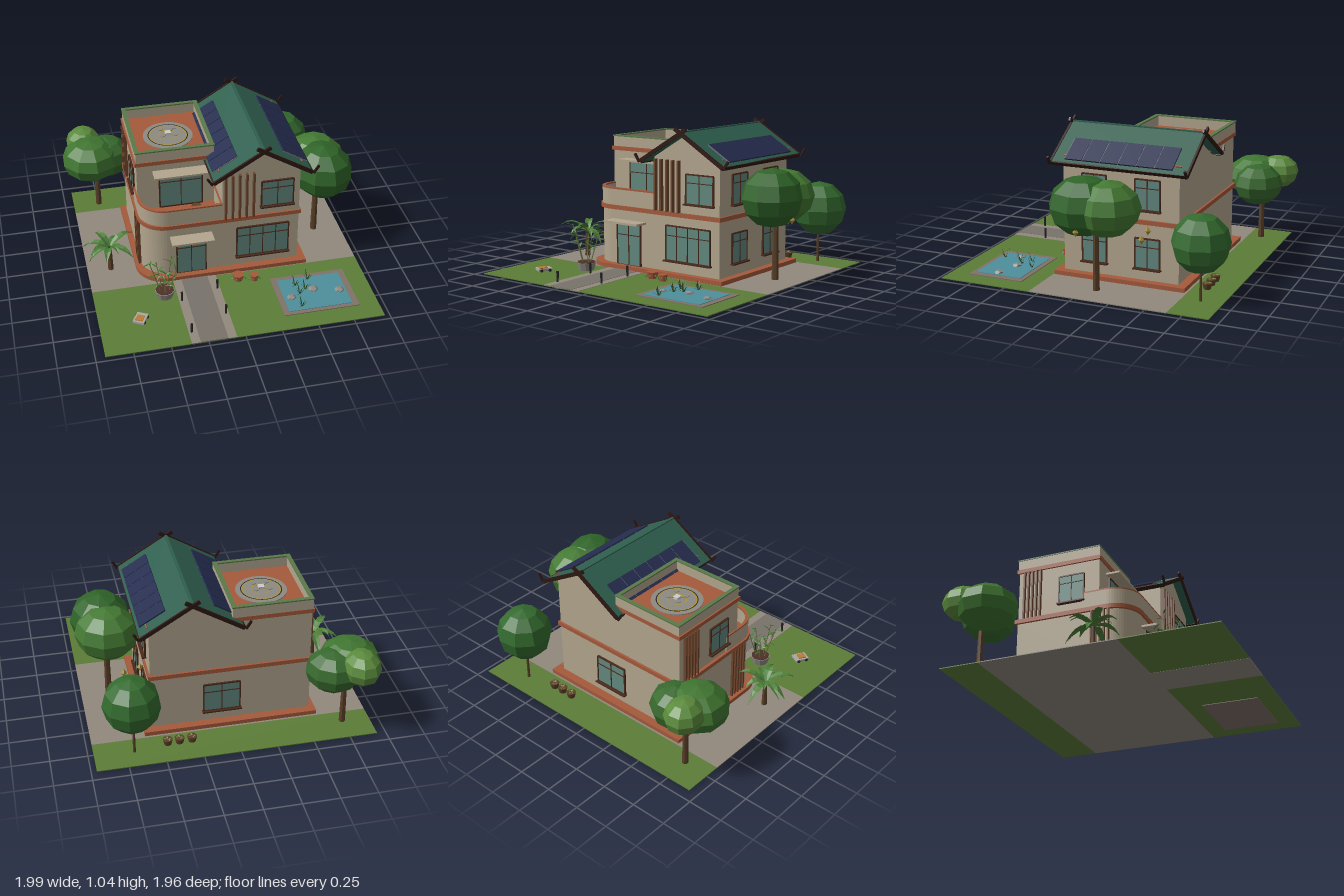
import * as THREE from 'three';

const C = { wall: 0xb3a68e, clay: 0xa55a3c, wood: 0x4a2a1c, slat: 0x6e452c, glass: 0x62897f, roof: 0x2f5f4e,
  dark: 0x2e1712, panel: 0x252c4e, grass: 0x5c7d38, pave: 0x91887d, path: 0x78726a, water: 0x4f8f9c,
  stone: 0x8d8a83, leaf: 0x3f7530, trunk: 0x5a4028, black: 0x262626, gold: 0xa8923a };
const G = 0.036; // ground level
const mats = {};
const mat = (c) => (mats[c] ??= new THREE.MeshStandardMaterial({ color: c, flatShading: true, side: THREE.DoubleSide }));

function add(parent, name, geo, color, x = 0, y = 0, z = 0) {
  const m = new THREE.Mesh(geo, mat(color));
  m.name = name;
  m.position.set(x, y, z);
  parent.add(m);
  return m;
}
function group(parent, name, x = 0, y = 0, z = 0) {
  const g = new THREE.Group();
  g.name = name;
  g.position.set(x, y, z);
  parent.add(g);
  return g;
}
// box given by its limits on each axis
const block = (p, name, c, x0, x1, y0, y1, z0, z1) => add(p, name,
  new THREE.BoxGeometry(x1 - x0, y1 - y0, z1 - z0), c, (x0 + x1) / 2, (y0 + y1) / 2, (z0 + z1) / 2);
const cyl = (p, name, c, r0, r1, h, x, y, z, n = 8) =>
  add(p, name, new THREE.CylinderGeometry(r1, r0, h, n), c, x, y + h / 2, z);

// plan outline with one rounded front corner
function plan(x0, x1, z0, z1, r, Type = THREE.Shape) {
  const s = new Type();
  s.moveTo(x0, -z1 + r);
  s.absarc(x0 + r, -z1 + r, r, Math.PI, 1.5 * Math.PI, false);
  s.lineTo(x1, -z1).lineTo(x1, -z0).lineTo(x0, -z0).closePath();
  return s;
}
function storey(p, name, c, shape, y0, y1) {
  const geo = new THREE.ExtrudeGeometry(shape, { depth: y1 - y0, bevelEnabled: false, curveSegments: 8 });
  return add(p, name, geo.rotateX(-Math.PI / 2), c, 0, y0, 0);
}

// window with frame, mullions and sill, centred at its middle and facing +z before turning
function pane(p, name, w, h, cols, x, y, z, turn = 0, sill = true) {
  const g = group(p, name, x, y, z);
  g.rotation.y = turn;
  const t = 0.009;
  add(g, 'glass', new THREE.BoxGeometry(w, h, 0.008), C.glass);
  for (let i = 0; i <= cols; i++)
    add(g, 'mullion', new THREE.BoxGeometry(i % cols ? t * 0.6 : t, h, 0.018), C.wood, -w / 2 + (w * i) / cols);
  for (const f of [-0.5, 0.22, 0.5]) add(g, 'rail', new THREE.BoxGeometry(w, f === 0.22 ? t * 0.6 : t, 0.018), C.wood, 0, f * h);
  if (sill) add(g, 'sill', new THREE.BoxGeometry(w + 0.02, 0.01, 0.035), C.wood, 0, -h / 2 - 0.004, 0.008);
}

// tapering leaf that rises and droops along +z
function leaf(p, len, w, rise, droop, turn, c = C.leaf, x = 0, y = 0, z = 0) {
  const geo = new THREE.PlaneGeometry(1, 1, 2, 5), a = geo.attributes.position;
  for (let i = 0; i < a.count; i++) {
    const t = a.getY(i) + 0.5, s = a.getX(i);
    a.setXYZ(i, s * w * Math.sin(Math.PI * (0.12 + 0.88 * t)), rise * t - droop * t * t + Math.abs(s) * w * 0.25, len * t);
  }
  geo.computeVertexNormals();
  add(p, 'leaf', geo, c, x, y, z).rotation.y = turn;
}
function tuft(p, name, x, y, z, n, len, w, rise, droop, c) {
  const g = group(p, name, x, y, z);
  for (let i = 0; i < n; i++) leaf(g, len * (0.8 + 0.2 * (i % 2)), w, rise * (1 - 0.3 * (i % 3)), droop, i * Math.PI * 2 / n + 0.3, c);
  return g;
}
// tree: trunk plus crown blobs [x, y, z, rx, ry, rz, colour]
function tree(p, name, x, z, r, top, blobs) {
  const g = group(p, name);
  cyl(g, 'trunk', C.trunk, r, r * 0.75, top - G, x, G, z, 7);
  blobs.forEach(([bx, by, bz, rx, ry, rz, c], i) => {
    const b = add(g, 'crown', new THREE.SphereGeometry(1, 9, 6), c, bx, by, bz);
    b.scale.set(rx, ry, rz);
    b.rotation.y = i * 0.7 + 0.3;
  });
}

function buildHouse(root) {
  const h = group(root, 'house');
  storey(h, 'plinth', C.clay, plan(-0.595, 0.6, -0.635, 0.305, 0.2), G, 0.065);
  storey(h, 'groundFloor', C.wall, plan(-0.555, 0.545, -0.575, 0.25, 0.18), 0.06, 0.455);
  storey(h, 'floorBand', C.clay, plan(-0.572, 0.558, -0.59, 0.265, 0.19), 0.45, 0.48);

  // balcony
  const ring = plan(-0.56, 0, -0.1, 0.255, 0.18);
  ring.holes.push(plan(-0.538, -0.01, -0.08, 0.233, 0.16, THREE.Path));
  storey(h, 'balconyParapet', C.wall, ring, 0.48, 0.592);
  storey(h, 'balconyCap', C.clay, ring, 0.592, 0.603);
  cyl(h, 'balconyTable', C.trunk, 0.03, 0.035, 0.06, -0.16, 0.48, 0.14);

  // flat-roofed upper room
  block(h, 'upperRoom', C.wall, -0.55, 0, 0.48, 0.84, -0.575, 0.02);
  block(h, 'roofBand', C.clay, -0.562, 0, 0.835, 0.864, -0.59, 0.03);
  for (const [y0, y1, c, e, n] of [[0.86, 0.935, C.wall, 0, 'roofParapet'], [0.935, 0.944, 0x5a7a4a, 0.004, 'parapetCap']]) {
    for (const z of [-0.577, 0.012]) block(h, n, c, -0.552 - e, -0.008 + e, y0, y1, z - 0.01 - e, z + 0.01 + e);
    for (const x of [-0.542, -0.02]) block(h, n, c, x - 0.01 - e, x + 0.01 + e, y0, y1, -0.58, 0.01);
  }

  // landing pad and small drone
  const pad = group(h, 'landingPad', -0.275, 0.864, -0.28);
  cyl(pad, 'padDisc', C.stone, 0.175, 0.175, 0.006, 0, 0, 0, 32);
  for (const [a, b, c] of [[0.125, 0.135, C.gold], [0.135, 0.142, C.black], [0.06, 0.066, C.gold]])
    add(pad, 'padRing', new THREE.RingGeometry(a, b, 32).rotateX(-Math.PI / 2), c, 0, 0.008, 0);
  const drone = group(pad, 'drone', 0, 0.025, 0);
  add(drone, 'body', new THREE.BoxGeometry(0.04, 0.018, 0.04), 0xbdbdbd);
  for (const s of [-1, 1]) {
    add(drone, 'arm', new THREE.BoxGeometry(0.13, 0.006, 0.008), C.gold).rotation.y = s * Math.PI / 4;
    for (const t of [-1, 1]) cyl(drone, 'rotor', C.stone, 0.02, 0.02, 0.004, s * 0.045, 0.008, t * 0.045, 12);
  }

  // gabled wing
  const R = 0.267, gable = new THREE.Shape();
  gable.moveTo(0, 0.48).lineTo(0.545, 0.48).lineTo(0.545, 0.84).lineTo(R, 1.01).lineTo(0, 0.85).closePath();
  add(h, 'gableWing', new THREE.ExtrudeGeometry(gable, { depth: 0.825, bevelEnabled: false }), C.wall, 0, 0, -0.575);
  const roof = group(h, 'roof', R, 1.035, -0.167);
  const ang = 0.545;
  for (const s of [-1, 1]) {
    const side = group(roof, 'roofSlope');
    side.rotation.z = -s * ang;
    add(side, 'slab', new THREE.BoxGeometry(0.405, 0.022, 0.95), C.roof, s * 0.202, -0.011, 0);
    for (const z of [-0.48, 0.48]) {
      add(side, 'bargeBoard', new THREE.BoxGeometry(0.455, 0.026, 0.014), C.dark, s * 0.178, -0.008, z);
      const tip = add(side, 'eaveFinial', new THREE.BoxGeometry(0.065, 0.015, 0.014), C.dark, s * 0.417, 0.017, z);
      tip.rotation.z = s * 1.6 - s * 0.05;
      tip.position.y = 0.022;
    }
    add(side, 'eaveTrim', new THREE.BoxGeometry(0.012, 0.026, 0.95), C.dark, s * 0.403, -0.013, 0);
    add(side, 'panelRail', new THREE.BoxGeometry(0.008, 0.008, 0.83), C.clay, s * 0.335, 0.004, -0.01);
    for (let i = 0; i < 6; i++) {
      add(side, 'solarPanel', new THREE.BoxGeometry(0.2, 0.01, 0.121), C.panel, s * 0.28, 0.012, -0.315 + i * 0.127);
      add(side, 'panelLine', new THREE.BoxGeometry(0.2, 0.008, 0.004), 0x70757c, s * 0.28, 0.01, -0.251 + i * 0.127);
    }
  }
  add(roof, 'ridgeCap', new THREE.BoxGeometry(0.018, 0.014, 0.95), C.roof, 0, -0.004, 0);

  // windows, doors and canopies
  pane(h, 'frontDoor', 0.205, 0.3, 2, -0.222, 0.212, 0.255, 0, false);
  pane(h, 'livingWindow', 0.37, 0.24, 4, 0.288, 0.264, 0.254);
  pane(h, 'bedroomWindow', 0.225, 0.2, 2, 0.385, 0.648, 0.254);
  pane(h, 'balconyDoor', 0.3, 0.28, 2, -0.245, 0.625, 0.025, 0, false);
  pane(h, 'backWindow', 0.25, 0.21, 2, 0.06, 0.25, -0.579, Math.PI);
  pane(h, 'leftWindow', 0.18, 0.2, 2, -0.554, 0.65, -0.18, -Math.PI / 2);
  for (const z of [0.025, -0.355]) for (const y of [0.25, 0.65]) pane(h, 'rightWindow', 0.175, 0.205, 2, 0.549, y, z, Math.PI / 2);
  block(h, 'doorCanopy', C.wall, -0.37, -0.075, 0.367, 0.382, 0.24, 0.355);
  block(h, 'balconyCanopy', C.wall, -0.44, -0.055, 0.77, 0.784, 0.01, 0.12);

  // timber slats on the front and left walls
  for (let i = 0; i < 5; i++) {
    const x = 0.02 + i * 0.049;
    block(h, 'frontSlat', C.slat, x - 0.007, x + 0.007, 0.48, 0.835, 0.25, 0.278);
    const z = -0.53 + i * 0.03;
    block(h, 'upperSideSlat', C.slat, -0.572, -0.548, 0.48, 0.835, z - 0.006, z + 0.006);
    block(h, 'lowerSideSlat', C.slat, -0.572, -0.55, 0.065, 0.45, z + 0.494, z + 0.506);
  }
}

function buildGarden(root) {
  const g = group(root, 'garden');
  block(g, 'backLawn', C.grass, -0.936, 0.963, G - 0.006, G, -0.928, -0.65);
  block(g, 'paving', C.pave, -0.936, 0.963, G - 0.006, G, -0.65, 0.31);
  block(g, 'frontLawn', C.grass, -0.936, 0.963, G - 0.006, G, 0.31, 0.97);
  block(g, 'pathEdge', C.pave, -0.365, -0.06, G - 0.007, G + 0.002, 0.3, 0.97);
  block(g, 'path', C.path, -0.305, -0.12, G, G + 0.004, 0.3, 0.97);

  // pond
  block(g, 'pondRim', 0x7f7268, 0.3, 0.83, G - 0.01, G + 0.005, 0.435, 0.835);
  block(g, 'pondWater', C.water, 0.34, 0.785, G, G + 0.008, 0.47, 0.805);
  for (const [x, z, r] of [[0.565, 0.61, 0.035], [0.74, 0.655, 0.034], [0.395, 0.665, 0.032]])
    add(g, 'pondStone', new THREE.DodecahedronGeometry(r), C.stone, x, G + 0.008, z).scale.y = 0.5;
  for (const [x, z] of [[0.45, 0.55], [0.51, 0.6], [0.46, 0.64], [0.44, 0.77], [0.555, 0.5]])
    tuft(g, 'reeds', x, G, z, 6, 0.035, 0.009, 0.09, 0.01, 0x35592c);

  // trees
  tree(g, 'rightTree', 0.77, -0.085, 0.024, 0.55, [
    [0.785, 0.605, -0.01, 0.212, 0.2, 0.235, 0x2f6428], [0.77, 0.6, -0.17, 0.215, 0.185, 0.222, 0x447a33]]);
  tree(g, 'backTree', 0.695, -0.78, 0.01, 0.4, [[0.7, 0.425, -0.78, 0.195, 0.195, 0.195, 0x336a2e]]);
  tree(g, 'leftTree', -0.745, -0.745, 0.022, 0.45, [
    [-0.79, 0.49, -0.68, 0.212, 0.155, 0.215, 0x3f7530], [-0.66, 0.465, -0.74, 0.17, 0.15, 0.19, 0x37692d],
    [-0.82, 0.535, -0.845, 0.148, 0.12, 0.13, 0x5a8a3c]]);
  for (const [x, y, z] of [[0.58, 0.42, -0.37], [0.935, 0.47, -0.02], [0.69, 0.39, -0.37]])
    add(g, 'lantern', new THREE.OctahedronGeometry(0.022), C.gold, x, y, z).scale.y = 1.4;

  // palm
  cyl(g, 'palmTrunk', C.trunk, 0.02, 0.013, 0.19, -0.77, G, 0.075, 7);
  tuft(g, 'palmLeaves', -0.77, 0.22, 0.075, 11, 0.19, 0.055, 0.22, 0.17, 0x4c7f38);

  // bamboo planter
  const b = group(g, 'bambooPlanter', -0.45, G, 0.45);
  cyl(b, 'planter', C.stone, 0.055, 0.07, 0.055, 0, 0, 0, 10);
  cyl(b, 'soil', 0x4f3028, 0.064, 0.064, 0.006, 0, 0.052, 0, 10);
  for (let i = 0; i < 5; i++) {
    const a = i * 1.257 + 0.4, stalk = group(b, 'stalk', Math.cos(a) * 0.03, 0.05, Math.sin(a) * 0.03);
    stalk.rotation.set(Math.sin(a) * 0.28, 0, -Math.cos(a) * 0.28);
    const H = 0.2 + 0.04 * (i % 3);
    cyl(stalk, 'cane', 0x6b7a3a, 0.004, 0.003, H, 0, 0, 0, 5);
    for (let k = 0; k < 5; k++) leaf(stalk, 0.055, 0.014, 0.05, 0.03, k * 2.4 + i, C.leaf, 0, H * (0.35 + k * 0.15), 0);
  }

  // potted plants
  for (const [x, z, r] of [[0.085, 0.385, 0.042], [0.195, 0.41, 0.032]]) {
    cyl(g, 'pot', C.clay, r * 0.75, r, 0.045, x, G, z, 8);
    tuft(g, 'potPlant', x, G + 0.03, z, 7, r * 1.4, 0.018, 0.035, 0.05, C.leaf);
  }
  for (const x of [0.3, 0.385, 0.465]) {
    cyl(g, 'flowerPot', C.trunk, 0.025, 0.034, 0.04, x, G, -0.745, 10);
    tuft(g, 'flowers', x, G + 0.035, -0.745, 6, 0.03, 0.014, 0.02, 0.01, 0x7d8a45);
  }

  // path lights and lawn mower
  for (const [x, z] of [[-0.08, 0.72], [-0.345, 0.86], [-0.345, 0.53], [-0.08, 0.45]])
    cyl(g, 'pathLight', C.black, 0.007, 0.009, 0.075, x, G, z, 6);
  const mower = group(g, 'robotMower', -0.655, G, 0.665);
  mower.rotation.y = -0.5;
  block(mower, 'deck', 0xa9a9a4, -0.04, 0.04, 0.006, 0.022, -0.05, 0.05);
  block(mower, 'cover', 0xc07a35, -0.026, 0.026, 0.02, 0.028, -0.02, 0.035);
  for (const sx of [-1, 1]) for (const sz of [-1, 1])
    cyl(mower, 'wheel', C.black, 0.011, 0.011, 0.01, sx * 0.04, 0.006, sz * 0.03).rotation.z = Math.PI / 2;
}

export function createModel() {
  const root = new THREE.Group();
  root.name = 'villaWithGarden';
  buildGarden(root);
  buildHouse(root);
  return root;
}
